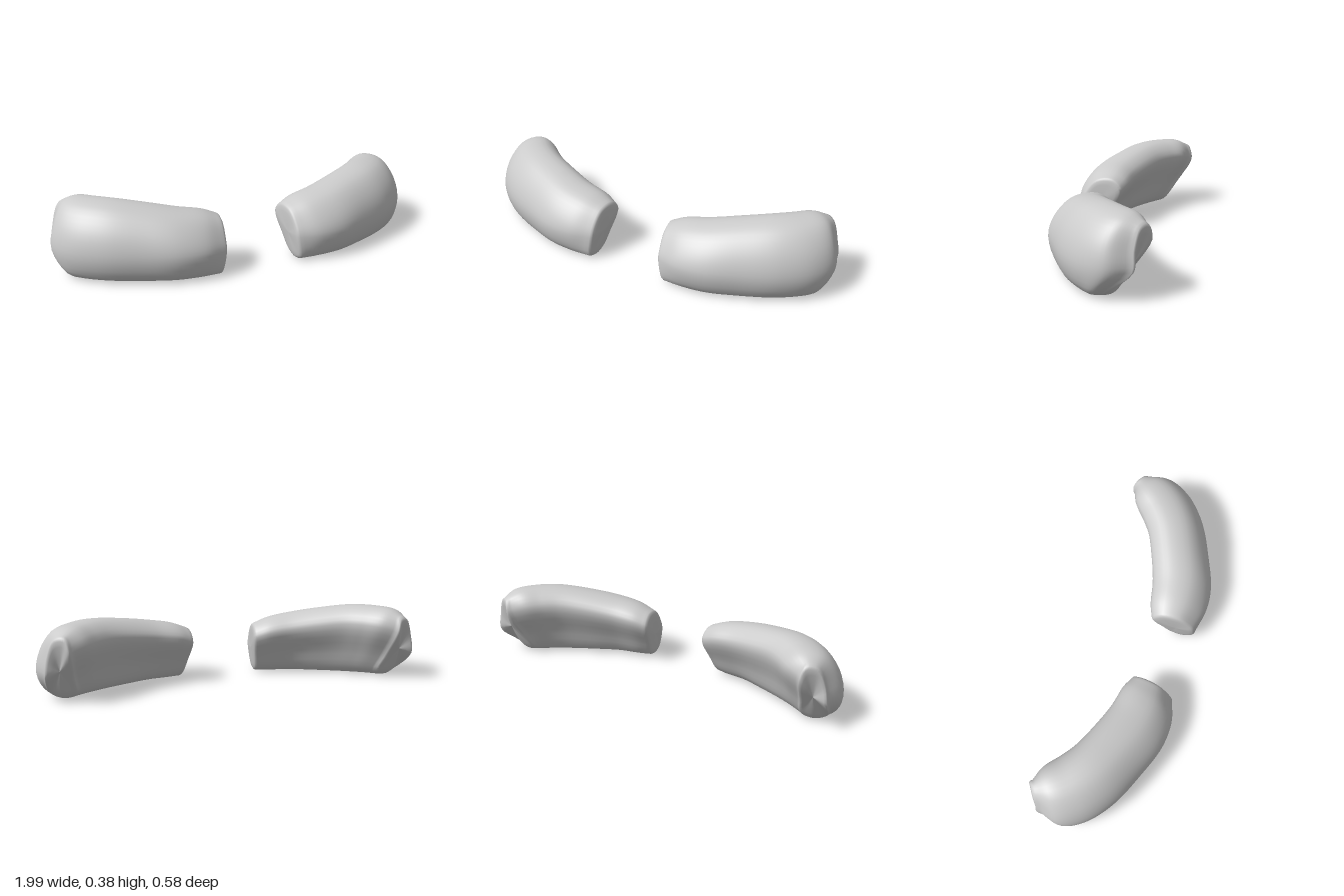
import * as THREE from 'three';

// Plan rails [x, z] from the inner end to the outer end of one pad
const FRONT = [[0.21, 0.25], [0.32, 0.28], [0.46, 0.272], [0.63, 0.21], [0.81, 0.125], [0.94, 0.015], [0.995, -0.10], [0.965, -0.205]];
const REAR = [[0.178, 0.02], [0.24, -0.005], [0.36, -0.03], [0.5, -0.08], [0.62, -0.135], [0.695, -0.19], [0.765, -0.25], [0.84, -0.28]];
const FOOT_FRONT = [[0.225, 0.24], [0.33, 0.245], [0.46, 0.23], [0.61, 0.175], [0.77, 0.10], [0.88, 0.02], [0.93, -0.04], [0.92, -0.085]];
const FOOT_REAR = [[0.215, 0.12], [0.27, 0.10], [0.38, 0.08], [0.5, 0.03], [0.61, -0.02], [0.68, -0.055], [0.74, -0.09], [0.79, -0.12]];
const HEIGHT = [0.285, 0.315, 0.34, 0.368, 0.388, 0.39, 0.383, 0.355];

const RING = 40, STEPS = 40;

// Eight control points of the cross-section: front, over the top, down the slanted rear, along the foot
function sectionAt(i) {
  const h = HEIGHT[i];
  const at = (p, q, k, y) => new THREE.Vector3(
    THREE.MathUtils.lerp(p[i][0], q[i][0], k), y, THREE.MathUtils.lerp(p[i][1], q[i][1], k));
  return [
    at(FRONT, REAR, 0, 0.14),
    at(FRONT, REAR, 0.1, 0.7 * h),
    at(FRONT, REAR, 0.38, 0.95 * h),
    at(FRONT, REAR, 0.78, 0.98 * h),
    at(FRONT, REAR, 1, 0.79 * h),
    at(REAR, FOOT_REAR, 0.55, 0.38 * h),
    at(FOOT_REAR, FOOT_FRONT, 0.05, 0.025),
    at(FOOT_REAR, FOOT_FRONT, 0.55, 0.005),
    at(FOOT_FRONT, FOOT_REAR, 0, 0.025),
  ];
}

function makeRings() {
  const sections = HEIGHT.map((_, i) => sectionAt(i));
  const rails = sections[0].map((_, k) => new THREE.CatmullRomCurve3(sections.map(s => s[k])));
  const rings = [];
  for (let s = 0; s <= STEPS; s++) {
    const loop = new THREE.CatmullRomCurve3(rails.map(r => r.getPoint(s / STEPS)), true);
    rings.push(Array.from({ length: RING }, (_, j) => loop.getPoint(j / RING)));
  }
  // Rounded end: shrink the ring towards its centre while pushing it outward
  const cap = (ring, next, bulge) => {
    const centre = r => r.reduce((a, p) => a.add(p), new THREE.Vector3()).divideScalar(RING);
    const c = centre(ring);
    const out = c.clone().sub(centre(next)).setY(0).normalize();
    return [[0.96, 0.45], [0.88, 0.75], [0.72, 0.9], [0.4, 1], [0.001, 1]].map(([k, b]) =>
      ring.map(p => c.clone().lerp(p, k).addScaledVector(out, b * bulge)));
  };
  const inner = cap(rings[0], rings[1], 0.018);
  const outer = cap(rings[STEPS], rings[STEPS - 1], 0.035);
  return [...inner.reverse(), ...rings, ...outer];
}

// Skins the rings, mirrored for the other side
function padGeometry(side) {
  const rings = makeRings();
  const pos = [], index = [];
  rings.forEach(r => r.forEach(p => pos.push(side * p.x, Math.max(p.y, 0), p.z)));
  for (let i = 0; i < rings.length - 1; i++) {
    for (let j = 0; j < RING; j++) {
      const a = i * RING + j, d = i * RING + (j + 1) % RING;
      const b = a + RING, c = d + RING;
      if (side > 0) index.push(a, b, c, a, c, d);
      else index.push(a, c, b, a, d, c);
    }
  }
  const g = new THREE.BufferGeometry();
  g.setAttribute('position', new THREE.Float32BufferAttribute(pos, 3));
  g.setIndex(index);
  g.computeVertexNormals();
  return g;
}

export function createModel() {
  const group = new THREE.Group();
  group.name = 'curvedPads';
  const material = new THREE.MeshStandardMaterial({ color: 0xcccccc });
  for (const [name, side] of [['leftPad', 1], ['rightPad', -1]]) {
    const mesh = new THREE.Mesh(padGeometry(side), material);
    mesh.name = name;
    group.add(mesh);
  }
  return group;
}
